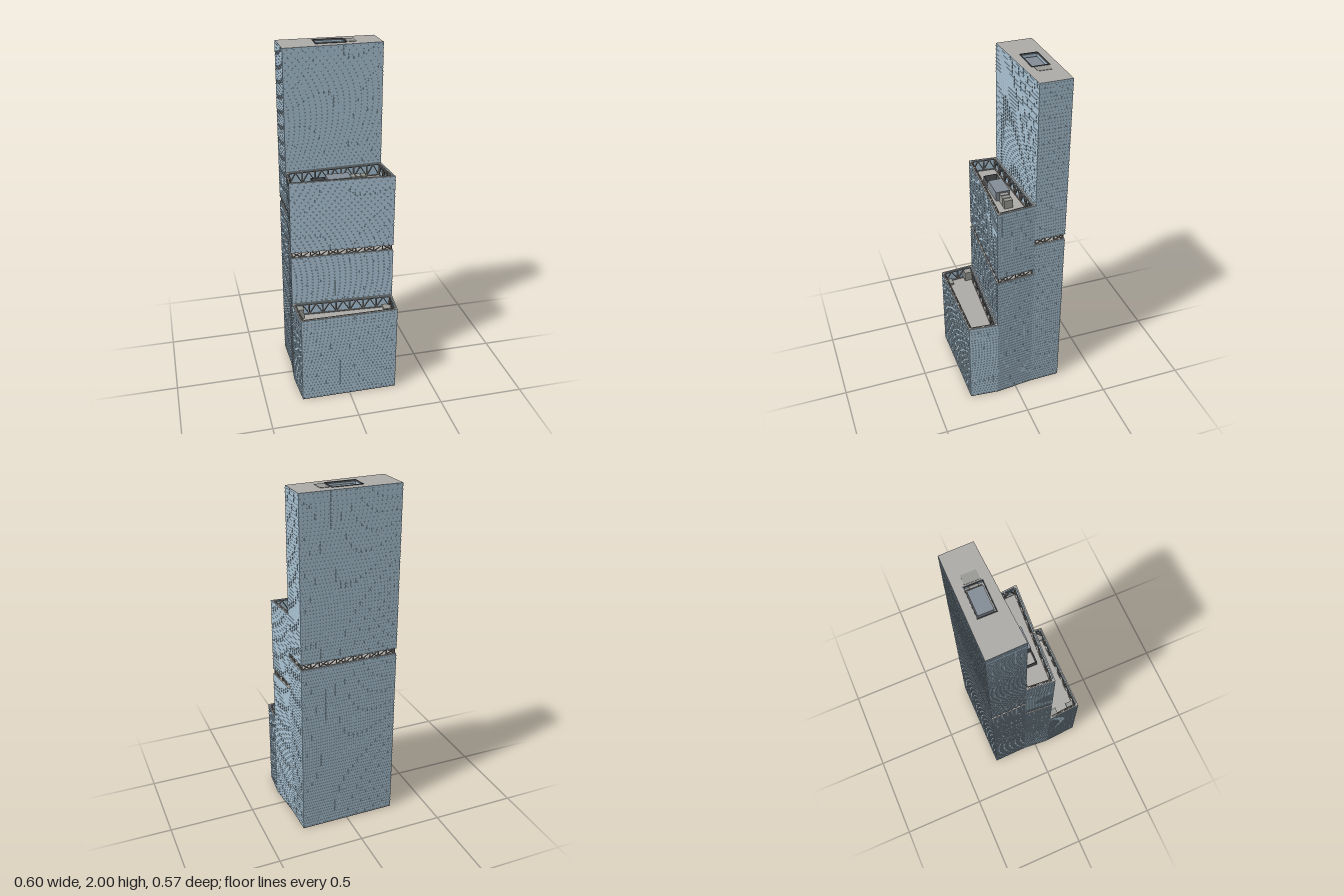
import * as THREE from 'three';
import { mergeGeometries } from 'three/addons/utils/BufferGeometryUtils.js';

const mat = (c) => new THREE.MeshStandardMaterial({ color: c });
const GLASS = mat(0xa9c4d6), BAND = mat(0xb4cad8), MULLION = mat(0x9db4c3), ROOF = mat(0xb0aeaa),
  STEEL = mat(0x85837f), DARK = mat(0x2b2b2a), PLANT = mat(0x868e98), FRAME = mat(0x55585c), UNIT = mat(0x9b9b97);

// Plans as [x, z], running front left, front right, back right, back left
const A = [-0.284, 0.285], B = [0.282, 0.285], C = [0.298, 0.118], D = [-0.298, 0.085];
const E = [0.278, -0.105], F = [-0.285, -0.078], G = [0.275, -0.285], H = [-0.29, -0.285];
const WELL = 0.07, FLOOR = 0.02;

function add(parent, name, geo, material) {
  const m = new THREE.Mesh(geo, material);
  m.name = name;
  parent.add(m);
  return m;
}

// Offsets a convex plan inwards by d (outwards when negative)
function inset(plan, d) {
  const n = plan.map((p, i) => {
    const q = plan[(i + 1) % plan.length];
    return new THREE.Vector2(p[1] - q[1], q[0] - p[0]).normalize();
  });
  return plan.map((p, i) => {
    const a = n[(i + plan.length - 1) % plan.length], b = n[i], k = d / (1 + a.dot(b));
    return [p[0] - k * (a.x + b.x), p[1] - k * (a.y + b.y)];
  });
}

// Upright prism between two heights, with an optional hole
function prism(plan, y0, y1, hole) {
  const pts = (l) => l.map(([x, z]) => new THREE.Vector2(x, -z));
  const shape = new THREE.Shape(pts(plan));
  if (hole) shape.holes.push(new THREE.Path(pts(hole)));
  return new THREE.ExtrudeGeometry(shape, { depth: y1 - y0, bevelEnabled: false })
    .rotateX(-Math.PI / 2).translate(0, y0, 0);
}

const rect = (x0, x1, z0, z1) => [[x0, z1], [x1, z1], [x1, z0], [x0, z0]];

// Square bar between two points
function bar(a, b, t) {
  const d = new THREE.Vector3().subVectors(b, a);
  const q = new THREE.Quaternion().setFromUnitVectors(new THREE.Vector3(0, 1, 0), d.clone().normalize());
  const c = a.clone().add(b).multiplyScalar(0.5);
  return new THREE.BoxGeometry(t, d.length(), t).applyQuaternion(q).translate(c.x, c.y, c.z);
}

// Truss round a plan: posts, chords and V or X bracing
function truss(plan, y0, y1, bay, t, crossed) {
  const out = [];
  plan.forEach((p, i) => {
    const q = plan[(i + 1) % plan.length];
    const n = Math.max(1, Math.round(Math.hypot(q[0] - p[0], q[1] - p[1]) / bay));
    const at = (k, y) => new THREE.Vector3(p[0] + (q[0] - p[0]) * k / n, y, p[1] + (q[1] - p[1]) * k / n);
    out.push(bar(at(0, y1), at(n, y1), t), bar(at(0, y0), at(n, y0), t));
    for (let k = 0; k < n; k++) {
      out.push(bar(at(k, y0), at(k, y1), t * 1.4));
      if (crossed) {
        out.push(bar(at(k, y0), at(k + 1, y1), t));
        if (k % 2 === 0) out.push(bar(at(k, y1), at(k + 1, y0), t));
      } else {
        out.push(bar(at(k, y0), at(k + 0.5, y1), t), bar(at(k + 0.5, y1), at(k + 1, y0), t));
      }
    }
  });
  return mergeGeometries(out);
}

// Glazed walls: prism, floor bands and thin mullions
function storeys(parent, plan, y0, y1, hole) {
  add(parent, 'glazedWalls', prism(plan, y0, y1, hole), [ROOF, GLASS]);
  const bands = [], mullions = [], ring = inset(plan, -0.0012), hollow = inset(plan, 0.002);
  for (let y = y0; y < y1 - 0.008; y += FLOOR) bands.push(prism(ring, y, Math.min(y + 0.006, y1), hollow));
  plan.forEach((p, i) => {
    const q = plan[(i + 1) % plan.length];
    const n = Math.round(Math.hypot(q[0] - p[0], q[1] - p[1]) / 0.028);
    for (let k = 1; k < n; k++) {
      mullions.push(new THREE.BoxGeometry(0.0015, y1 - y0, 0.0015).translate(
        p[0] + (q[0] - p[0]) * k / n, (y0 + y1) / 2, p[1] + (q[1] - p[1]) * k / n));
    }
  });
  if (bands.length) add(parent, 'floorBands', mergeGeometries(bands), BAND);
  add(parent, 'mullions', mergeGeometries(mullions), MULLION);
}

// One block of the tower, optionally split by an open truss belt and topped by a roof well
function block(name, plan, top, belt, well) {
  const g = new THREE.Group();
  g.name = name;
  add(g, 'basePlate', prism(plan, 0, 0.004), DARK);
  const solidTop = well ? top - WELL : top - 0.04;
  const cuts = belt ? [0.004, belt[0], belt[1], solidTop] : [0.004, solidTop];
  for (let i = 0; i < cuts.length; i += 2) storeys(g, plan, cuts[i], cuts[i + 1]);
  if (belt) add(g, 'beltTruss', truss(inset(plan, 0.008), belt[0], belt[1], 0.052, 0.004, true), STEEL);
  if (well) {
    storeys(g, plan, solidTop, top, inset(plan, 0.007));
    add(g, 'parapetTruss', truss(inset(plan, 0.016), solidTop + 0.002, top - 0.004, 0.075, 0.005, false), STEEL);
    // Brackets tying the truss to the parapet
    const pads = [], line = inset(plan, 0.012);
    line.forEach((p, i) => {
      const q = line[(i + 1) % 4], n = Math.max(2, Math.round(Math.hypot(q[0] - p[0], q[1] - p[1]) / 0.075));
      for (let k = 0; k < n; k++) pads.push(new THREE.BoxGeometry(0.011, 0.004, 0.011).translate(
        p[0] + (q[0] - p[0]) * k / n, top - 0.004, p[1] + (q[1] - p[1]) * k / n));
    });
    add(g, 'parapetBrackets', mergeGeometries(pads), UNIT);
  }
  return g;
}

export function createModel() {
  const model = new THREE.Group();
  model.name = 'steppedTower';

  const front = block('lowBlock', [A, B, C, D], 0.54, null, true);
  const middle = block('middleBlock', [D, C, E, F], 1.3, [0.84, 0.873], true);
  const back = block('tallBlock', [F, E, G, H], 2, [1.04, 1.072], false);
  model.add(front, middle, back);

  // Corner boxes on the low roof
  const deck = 0.54 - WELL;
  [[-0.288, -0.24, 0.1, 0.148, 0.06], [-0.276, -0.228, 0.226, 0.276, 0.012],
    [0.236, 0.286, 0.124, 0.174, 0.012], [0.226, 0.276, 0.226, 0.276, 0.012]]
    .forEach(([x0, x1, z0, z1, h]) => add(front, 'cornerBox', prism(rect(x0, x1, z0, z1), deck, deck + h), UNIT));

  // Plant on the middle roof: housing, open frame and three units
  const mid = 1.3 - WELL;
  add(middle, 'plantHousing', prism(rect(-0.07, 0.065, -0.035, 0.045), mid, mid + 0.055), PLANT);
  add(middle, 'plantFrame', prism(rect(-0.152, -0.07, -0.035, 0.045), mid, mid + 0.04,
    rect(-0.149, -0.073, -0.032, 0.042)), FRAME);
  for (let i = 0; i < 3; i++) {
    const x = 0.07 + i * 0.03;
    add(middle, 'roofUnit', prism(rect(x, x + 0.025, -0.02, 0.028), mid, mid + 0.05), UNIT);
  }

  // Top roof: sunken plant well with a kerb, housing and a flat pad
  const opening = rect(-0.09, 0.079, -0.237, -0.142);
  storeys(back, [F, E, G, H], 1.96, 1.997, opening);
  add(back, 'wellKerb', prism(inset(opening, -0.003), 1.99, 2, inset(opening, 0.002)), FRAME);
  add(back, 'wellLedge', prism(opening, 1.96, 1.975, inset(opening, 0.008)), ROOF);
  add(back, 'plantHousing', prism(rect(-0.072, 0.062, -0.23, -0.148), 1.96, 1.983), PLANT);
  add(back, 'plantBox', prism(rect(0.065, 0.078, -0.213, -0.167), 1.96, 1.985), UNIT);
  add(back, 'roofPad', prism(rect(0.088, 0.14, -0.23, -0.15), 1.99, 1.999), UNIT);
  return model;
}
